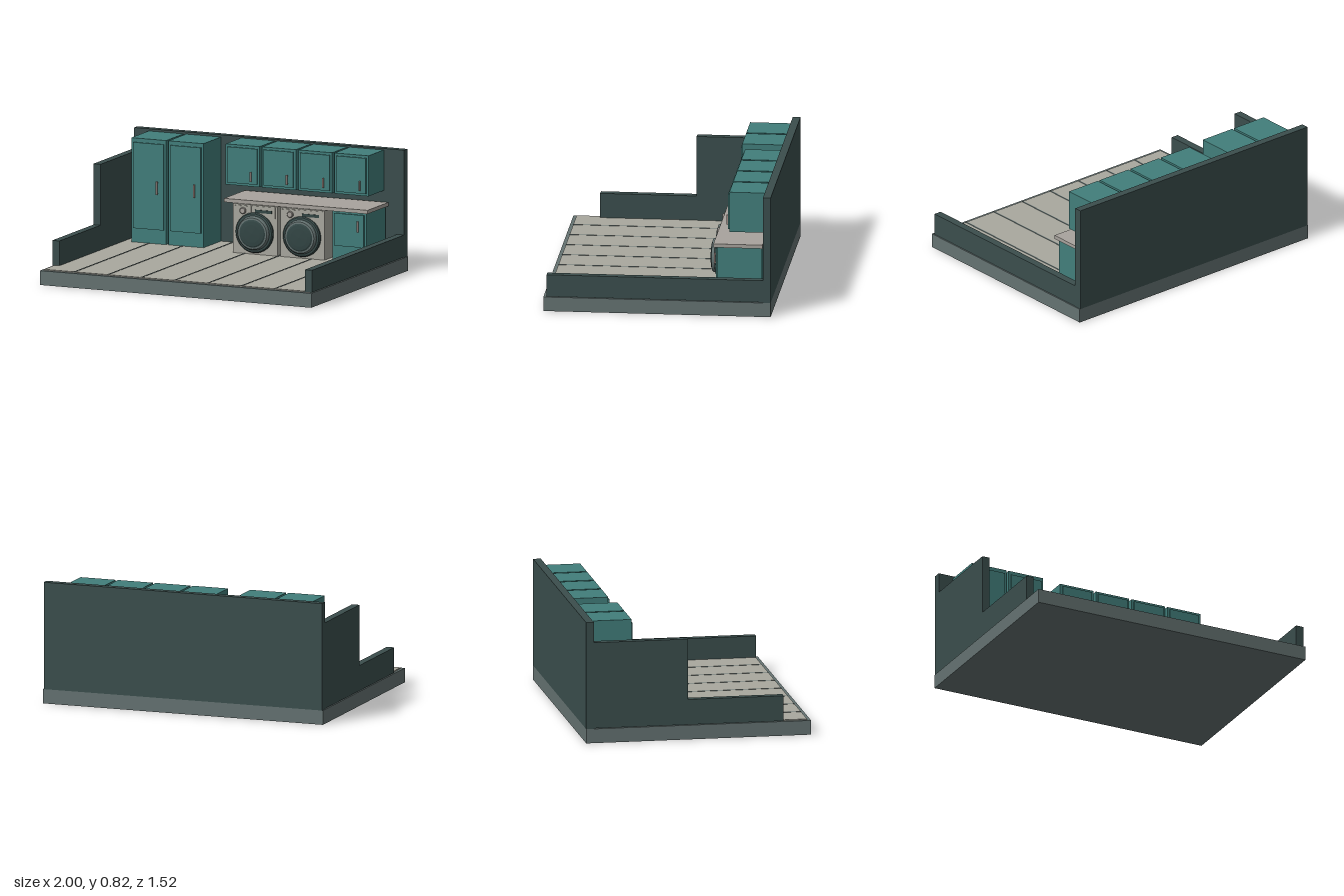
import * as THREE from 'three';

const mat = (name, color) => {
  const m = new THREE.MeshStandardMaterial({ color });
  m.name = name;
  return m;
};

export function createModel() {
  const model = new THREE.Group();
  model.name = 'laundryRoom';

  const slate = mat('slateBase', 0x647271);
  const wall = mat('darkWall', 0x3b4e4d);
  const teal = mat('tealCabinet', 0x427e7b);
  const cream = mat('creamFloor', 0xa9a89f);
  const stone = mat('stoneCounter', 0xa8a39d);
  const metal = mat('handleMetal', 0xa08c86);
  const dark = mat('darkGlass', 0x334645);

  // Box given by its limits along each axis
  const box = (parent, name, m, x0, x1, y0, y1, z0, z1) => {
    const mesh = new THREE.Mesh(new THREE.BoxGeometry(x1 - x0, y1 - y0, z1 - z0), m);
    mesh.position.set((x0 + x1) / 2, (y0 + y1) / 2, (z0 + z1) / 2);
    mesh.name = name;
    parent.add(mesh);
    return mesh;
  };

  const group = (name) => {
    const g = new THREE.Group();
    g.name = name;
    model.add(g);
    return g;
  };

  // Base slab, floor and plank seams
  box(model, 'base', slate, -1, 1, 0, 0.097, -0.762, 0.762);
  box(model, 'floor', cream, -0.98, 0.98, 0.097, 0.104, -0.74, 0.738);
  for (let i = 0; i < 7; i++) {
    const x = -0.755 + i * 0.2458;
    box(model, 'plankSeam', slate, x - 0.005, x + 0.005, 0.1, 0.106, -0.72, 0.738);
  }

  // Walls
  box(model, 'backWall', wall, -0.995, 0.995, 0.097, 0.825, -0.762, -0.71);
  box(model, 'leftWall', wall, 0.942, 0.995, 0.1, 0.25, -0.71, 0.74);
  const step = new THREE.Shape([
    [0.71, 0.1], [0.71, 0.685], [0.07, 0.685], [0.07, 0.272], [-0.577, 0.272], [-0.577, 0.1],
  ].map(([a, b]) => new THREE.Vector2(a, b)));
  const rightWall = new THREE.Mesh(
    new THREE.ExtrudeGeometry(step, { depth: 0.052, bevelEnabled: false }).rotateY(Math.PI / 2), wall);
  rightWall.position.x = -0.995;
  rightWall.name = 'rightWall';
  model.add(rightWall);

  // Cabinet with a raised door panel and a bar handle
  const cabinet = (name, x0, x1, y0, y1, zBack, zFront, panelLow, panelHigh, hx, hy0, hy1) => {
    const g = group(name);
    box(g, 'carcass', teal, x0, x1, y0, y1, zBack, zFront);
    box(g, 'doorPanel', teal, x0 + 0.016, x1 - 0.016, panelLow, panelHigh, zFront, zFront + 0.01);
    const zp = zFront + 0.01;
    box(g, 'handle', metal, hx - 0.005, hx + 0.005, hy0, hy1, zp + 0.006, zp + 0.015);
    for (const y of [hy0 + 0.008, hy1 - 0.008])
      box(g, 'handlePost', metal, hx - 0.004, hx + 0.004, y - 0.004, y + 0.004, zp, zp + 0.008);
  };

  // Tall cupboards
  for (const x of [-0.887, -0.612])
    cabinet('tallCupboard', x, x + 0.257, 0.104, 0.81, -0.71, -0.435, 0.2, 0.782, x + 0.197, 0.44, 0.53);

  // Wall cupboards
  for (let i = 0; i < 4; i++) {
    const x = -0.208 + i * 0.2675;
    cabinet('wallCupboard', x, x + 0.25, 0.54, 0.815, -0.71, -0.47, 0.556, 0.798, x + 0.192, 0.575, 0.642);
  }

  // Base cupboard and worktop
  cabinet('baseCupboard', 0.617, 0.867, 0.104, 0.44, -0.69, -0.39, 0.205, 0.425, 0.81, 0.308, 0.382);
  box(model, 'worktop', stone, -0.172, 0.885, 0.44, 0.465, -0.695, -0.367);

  // Surface of revolution facing +z
  const disc = (parent, name, m, x, y, z, pts) => {
    const geo = new THREE.LatheGeometry(pts.map(([r, d]) => new THREE.Vector2(r, d)), 40);
    geo.rotateX(Math.PI / 2);
    const flat = geo.toNonIndexed();
    flat.computeVertexNormals();
    const mesh = new THREE.Mesh(flat, m);
    mesh.position.set(x, y, z);
    mesh.name = name;
    parent.add(mesh);
  };

  // Front-loading machines
  for (const cx of [0.06, 0.408]) {
    const g = group('washingMachine');
    const z = -0.362;
    box(g, 'body', cream, cx - 0.163, cx + 0.163, 0.104, 0.438, -0.69, z);
    box(g, 'controlPanel', cream, cx - 0.15, cx + 0.15, 0.357, 0.432, z, z + 0.006);
    box(g, 'drawer', cream, cx - 0.145, cx - 0.025, 0.363, 0.427, z + 0.006, z + 0.01);
    box(g, 'display', dark, cx + 0.003, cx + 0.127, 0.388, 0.408, z + 0.006, z + 0.011);
    disc(g, 'dial', stone, cx - 0.083, 0.397, z + 0.008, [[0.022, 0], [0.021, 0.014], [0.017, 0.017], [0, 0.017]]);
    disc(g, 'doorRim', wall, cx, 0.252, z,
      [[0.137, 0], [0.137, 0.014], [0.13, 0.022], [0.116, 0.025]]);
    disc(g, 'doorRing', slate, cx, 0.252, z,
      [[0.116, 0.025], [0.113, 0.038], [0.106, 0.046], [0.094, 0.048]]);
    disc(g, 'doorGlass', dark, cx, 0.252, z,
      [[0.094, 0.048], [0.085, 0.053], [0.06, 0.056], [0, 0.058]]);
  }

  return model;
}
